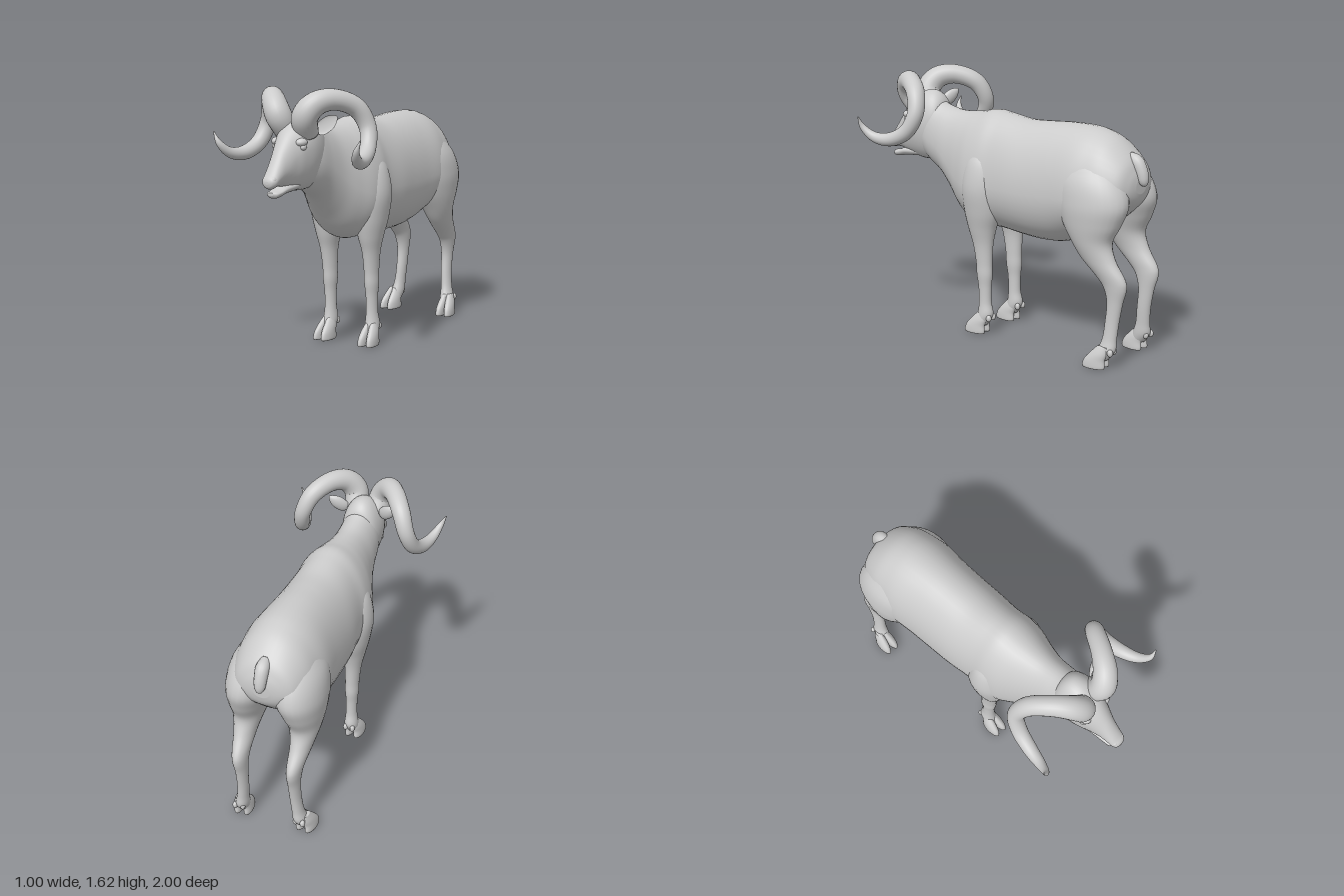
import * as THREE from 'three';

const material = new THREE.MeshStandardMaterial({ color: 0xcccccc, side: THREE.DoubleSide });
const V = (x, y, z) => new THREE.Vector3(x, y, z);

function mesh(name, geometry) {
  const m = new THREE.Mesh(geometry, material);
  m.name = name;
  return m;
}

// Catmull-Rom sampling of rows of numbers; t is in row units.
function sample(rows, t) {
  const i = Math.min(Math.floor(t), rows.length - 2), f = t - i;
  const at = (k) => rows[Math.max(0, Math.min(rows.length - 1, k))];
  const [a, b, c, d] = [at(i - 1), at(i), at(i + 1), at(i + 2)];
  return b.map((_, j) => b[j] + 0.5 * f * (c[j] - a[j]
    + f * (2 * a[j] - 5 * b[j] + 4 * c[j] - d[j] + f * (3 * (b[j] - c[j]) + d[j] - a[j]))));
}

// Skins closed rings of points, with end caps, and orients the faces outward.
function loft(rings) {
  const n = rings[0].length, pos = [], idx = [];
  for (const ring of rings) for (const p of ring) pos.push(p.x, p.y, p.z);
  for (let i = 0; i < rings.length - 1; i++) {
    for (let j = 0; j < n; j++) {
      const a = i * n + j, b = i * n + (j + 1) % n;
      idx.push(a, b, a + n, b, b + n, a + n);
    }
  }
  for (const end of [0, rings.length - 1]) {
    const c = V(0, 0, 0), ci = pos.length / 3;
    rings[end].forEach((p) => c.addScaledVector(p, 1 / n));
    pos.push(c.x, c.y, c.z);
    for (let j = 0; j < n; j++) {
      const a = end * n + j, b = end * n + (j + 1) % n;
      if (end) idx.push(a, b, ci); else idx.push(b, a, ci);
    }
  }
  const pt = (k) => V(pos[3 * k], pos[3 * k + 1], pos[3 * k + 2]);
  let volume = 0;
  for (let k = 0; k < idx.length; k += 3) {
    volume += pt(idx[k]).dot(pt(idx[k + 1]).cross(pt(idx[k + 2])));
  }
  if (volume < 0) idx.reverse();
  const g = new THREE.BufferGeometry();
  g.setAttribute('position', new THREE.Float32BufferAttribute(pos, 3));
  g.setIndex(idx);
  g.computeVertexNormals();
  return g;
}

function skin(rows, steps, sides, point) {
  const rings = [], count = (rows.length - 1) * steps;
  for (let i = 0; i <= count; i++) {
    const row = sample(rows, i / steps);
    rings.push(Array.from({ length: sides }, (_, j) => {
      const a = (j / sides) * Math.PI * 2;
      return point(row, Math.cos(a), Math.sin(a));
    }));
  }
  return loft(rings);
}

// Upright sections along z: [z, top, bottom, half width, height of widest point]
const trunk = (rows) => skin(rows, 6, 40, ([z, top, bottom, w, mid], c, s) =>
  V(w * c, mid + s * (s > 0 ? top - mid : mid - bottom), z));

// Level sections along y: [y, z, half depth, x, half width]
const limb = (rows) => skin(rows, 6, 28, ([y, z, rz, x, rx], c, s) => V(x + rx * c, y, z + rz * s));

// Tapered tube through [x, y, z, radius]
function taperedTube(rows, segments, sides) {
  const curve = new THREE.CatmullRomCurve3(rows.map((r) => V(r[0], r[1], r[2])));
  const frames = curve.computeFrenetFrames(segments);
  const rings = [];
  for (let i = 0; i <= segments; i++) {
    const t = curve.getUtoTmapping(i / segments), p = curve.getPoint(t);
    const r = sample(rows.map((q) => [q[3]]), t * (rows.length - 1))[0];
    rings.push(Array.from({ length: sides }, (_, j) => {
      const a = (j / sides) * Math.PI * 2;
      return p.clone().addScaledVector(frames.normals[i], r * Math.cos(a))
        .addScaledVector(frames.binormals[i], r * Math.sin(a));
    }));
  }
  return loft(rings);
}

function blob(name, [x, y, z], [sx, sy, sz]) {
  const m = mesh(name, new THREE.SphereGeometry(1, 20, 14));
  m.position.set(x, y, z);
  m.scale.set(sx, sy, sz);
  return m;
}

// Leaf-shaped ear with a hollowed front
function ear() {
  const g = new THREE.SphereGeometry(1, 24, 20), p = g.attributes.position;
  for (let i = 0; i < p.count; i++) {
    const x = p.getX(i), y = p.getY(i), z = p.getZ(i);
    const taper = 1 - 0.35 * y * y * Math.sign(y);
    p.setXYZ(i, x * 0.043 * taper, y * 0.075, (z > 0 ? -0.3 * z : z) * 0.028);
  }
  g.computeVertexNormals();
  const m = mesh('ear', g);
  m.position.set(0.165, 1.41, 0.63);
  m.rotation.set(-0.1, 0.35, -0.85);
  return m;
}

// Cloven foot: two toes and two dewclaws
function foot(x, z, turn, clawZ) {
  const g = new THREE.Group();
  g.name = 'hoof';
  for (const s of [-1, 1]) {
    g.add(mesh('toe', limb([
      [0, 0.045, 0.07, s * 0.03, 0.027], [0.015, 0.045, 0.073, s * 0.03, 0.029],
      [0.05, 0.04, 0.066, s * 0.028, 0.029], [0.09, 0.018, 0.055, s * 0.023, 0.027],
      [0.135, -0.005, 0.035, s * 0.016, 0.018],
    ])));
    g.add(blob('dewclaw', [s * 0.024, 0.105, clawZ], [0.016, 0.023, 0.018]));
  }
  g.position.set(x, 0, z);
  g.rotation.y = turn;
  return g;
}

// All parts of the left half
function side() {
  const g = new THREE.Group();
  g.add(mesh('frontLeg', limb([
    [1.2, 0.1, 0.06, 0.13, 0.06], [1.1, 0.1, 0.11, 0.14, 0.11], [0.95, 0.1, 0.135, 0.155, 0.12],
    [0.8, 0.1, 0.125, 0.155, 0.1], [0.68, 0.105, 0.095, 0.152, 0.075], [0.58, 0.1, 0.07, 0.152, 0.053],
    [0.46, 0.093, 0.056, 0.15, 0.044], [0.38, 0.09, 0.054, 0.15, 0.043], [0.3, 0.088, 0.044, 0.15, 0.036],
    [0.2, 0.086, 0.042, 0.15, 0.036], [0.12, 0.085, 0.054, 0.152, 0.044], [0.05, 0.12, 0.045, 0.155, 0.04],
  ])));
  g.add(foot(0.155, 0.1, 0.08, -0.058));
  g.add(mesh('hindLeg', limb([
    [1.27, -0.66, 0.1, 0.1, 0.07], [1.12, -0.69, 0.21, 0.13, 0.14], [0.98, -0.72, 0.235, 0.15, 0.15],
    [0.86, -0.725, 0.195, 0.168, 0.125], [0.75, -0.735, 0.135, 0.178, 0.095], [0.65, -0.785, 0.115, 0.18, 0.068],
    [0.55, -0.87, 0.097, 0.175, 0.05], [0.49, -0.9, 0.077, 0.172, 0.043], [0.4, -0.9, 0.052, 0.17, 0.036],
    [0.28, -0.885, 0.045, 0.172, 0.034], [0.18, -0.875, 0.046, 0.18, 0.035], [0.11, -0.862, 0.057, 0.19, 0.042],
    [0.05, -0.83, 0.045, 0.2, 0.038],
  ])));
  g.add(foot(0.205, -0.845, 0.12, -0.06));
  g.add(mesh('horn', taperedTube([
    [0.065, 1.36, 0.69, 0.07], [0.09, 1.46, 0.745, 0.077], [0.14, 1.53, 0.715, 0.071],
    [0.21, 1.553, 0.63, 0.062], [0.295, 1.5, 0.515, 0.057], [0.345, 1.385, 0.475, 0.051],
    [0.375, 1.27, 0.53, 0.048], [0.405, 1.215, 0.64, 0.043], [0.435, 1.225, 0.745, 0.032],
    [0.466, 1.285, 0.81, 0.019], [0.498, 1.352, 0.818, 0.004],
  ], 90, 24)));
  g.add(ear());
  g.add(blob('brow', [0.08, 1.315, 0.77], [0.035, 0.025, 0.04]));
  g.add(blob('eye', [0.096, 1.288, 0.772], [0.018, 0.018, 0.022]));
  g.add(blob('nostril', [0.026, 1.118, 0.967], [0.02, 0.022, 0.022]));
  return g;
}

export function createModel() {
  const model = new THREE.Group();
  model.name = 'ram';

  model.add(mesh('body', trunk([
    [-0.955, 1.12, 1.03, 0.05, 1.07], [-0.94, 1.17, 0.98, 0.12, 1.06], [-0.9, 1.245, 0.93, 0.19, 1.05],
    [-0.8, 1.335, 0.84, 0.245, 1.02], [-0.7, 1.378, 0.78, 0.265, 1], [-0.6, 1.393, 0.72, 0.275, 0.99],
    [-0.45, 1.393, 0.665, 0.263, 0.98], [-0.3, 1.383, 0.65, 0.258, 0.97], [-0.15, 1.377, 0.658, 0.255, 0.97],
    [0, 1.398, 0.672, 0.243, 0.97], [0.1, 1.41, 0.668, 0.25, 0.97], [0.2, 1.39, 0.668, 0.24, 0.96],
    [0.3, 1.377, 0.725, 0.2, 0.99], [0.4, 1.375, 0.84, 0.16, 1.06], [0.5, 1.395, 0.945, 0.138, 1.14],
    [0.6, 1.43, 1.01, 0.125, 1.19], [0.68, 1.4, 1.07, 0.1, 1.22],
  ])));

  model.add(mesh('head', trunk([
    [0.52, 1.36, 1.16, 0.05, 1.26], [0.545, 1.43, 1.09, 0.1, 1.26], [0.6, 1.475, 1.035, 0.122, 1.26],
    [0.68, 1.47, 1.025, 0.126, 1.27], [0.76, 1.415, 1.035, 0.108, 1.26], [0.82, 1.36, 1.05, 0.083, 1.22],
    [0.88, 1.283, 1.07, 0.063, 1.17], [0.93, 1.21, 1.073, 0.054, 1.135], [0.97, 1.155, 1.065, 0.048, 1.11],
    [0.992, 1.13, 1.075, 0.034, 1.105], [1, 1.112, 1.095, 0.012, 1.103],
  ])));
  model.add(mesh('lowerJaw', trunk([
    [0.68, 1.1, 1.045, 0.05, 1.07], [0.76, 1.095, 1.033, 0.058, 1.065], [0.85, 1.08, 1.025, 0.05, 1.055],
    [0.91, 1.058, 1.011, 0.044, 1.04], [0.945, 1.05, 1.01, 0.038, 1.035], [0.962, 1.045, 1.025, 0.015, 1.036],
  ])));

  model.add(mesh('tail', taperedTube([
    [0, 1.24, -0.87, 0.03], [0, 1.215, -0.92, 0.04], [0, 1.16, -0.953, 0.038],
    [0, 1.11, -0.968, 0.032], [0, 1.085, -0.975, 0.02], [0, 1.075, -0.977, 0.004],
  ], 24, 16)));

  // Mirrored halves
  const left = side(), right = side();
  left.name = 'leftSide';
  right.name = 'rightSide';
  right.scale.x = -1;
  model.add(left, right);
  return model;
}
